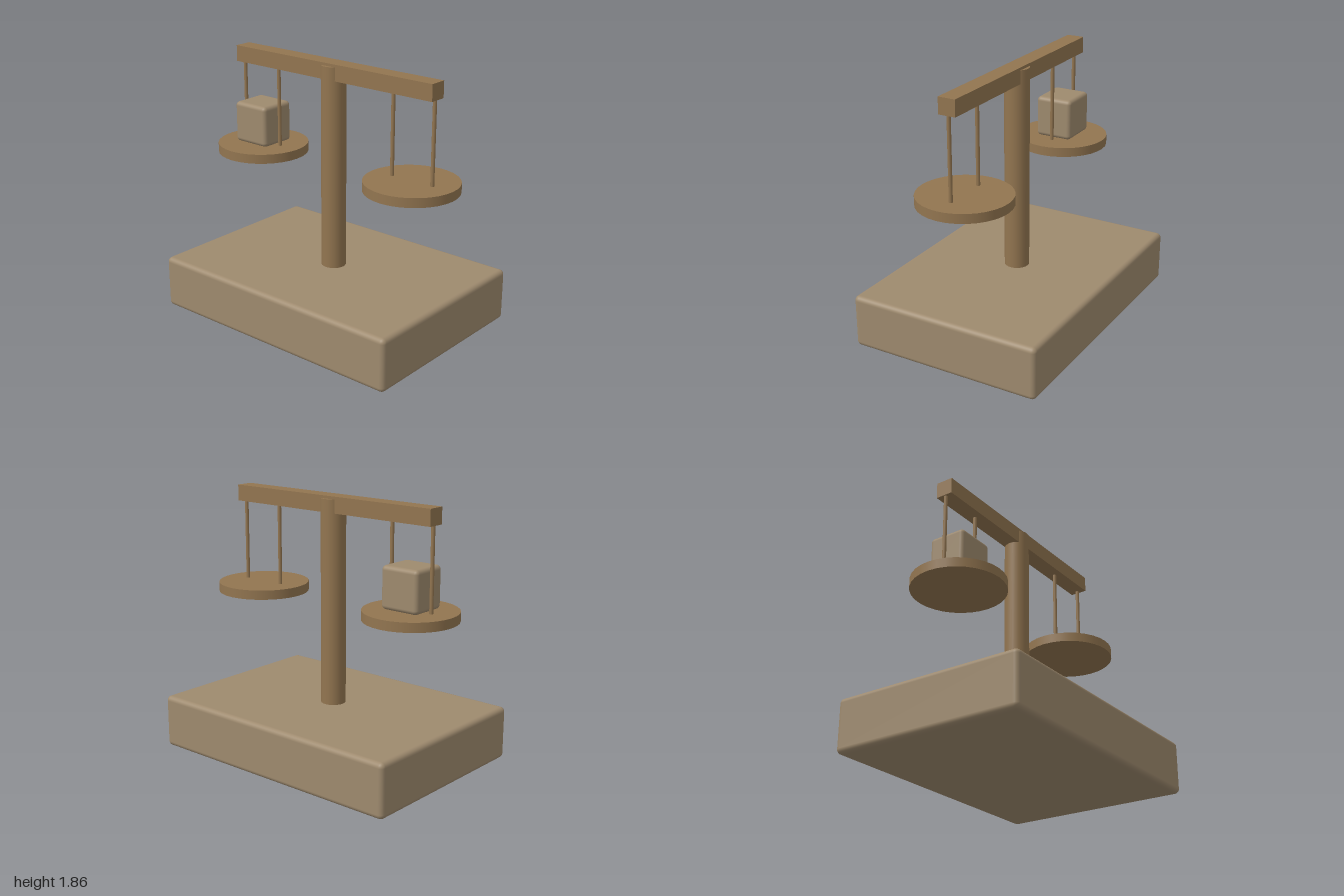
import * as THREE from 'three';
import { RoundedBoxGeometry } from 'three/addons/geometries/RoundedBoxGeometry.js';

export function createModel() {
  const model = new THREE.Group();
  model.name = 'balanceScale';

  const stone = new THREE.MeshStandardMaterial({ color: 0x9e8a6e });
  stone.name = 'stone';
  const wood = new THREE.MeshStandardMaterial({ color: 0x927550 });
  wood.name = 'wood';

  const add = (name, geometry, material, x, y, z = 0, parent = model) => {
    const mesh = new THREE.Mesh(geometry, material);
    mesh.name = name;
    mesh.position.set(x, y, z);
    parent.add(mesh);
    return mesh;
  };

  // Upright cylinder given by its bottom and top heights
  const addCylinder = (name, radius, bottom, top, sides, x, parent) =>
    add(name, new THREE.CylinderGeometry(radius, radius, top - bottom, sides), wood,
      x, (bottom + top) / 2, 0, parent);

  // Heavy base with softened edges
  add('base', new RoundedBoxGeometry(2, 0.38, 1.41, 3, 0.035), stone, 0, 0.19);

  // Central post, standing slightly proud of the beam front and back
  addCylinder('post', 0.088, 0.37, 1.84, 24, 0, model);

  // Cross beam
  add('beam', new THREE.BoxGeometry(1.715, 0.115, 0.125), wood, 0, 1.802);

  // Hanging pans, each on two thin rods
  for (const side of [-1, 1]) {
    const pan = new THREE.Group();
    pan.name = side > 0 ? 'leftPan' : 'rightPan';
    model.add(pan);
    addCylinder('dish', 0.328, 1.097, 1.164, 32, side * 0.672, pan);
    for (const x of [0.508, 0.836]) {
      addCylinder('rod', 0.0135, 1.13, 1.76, 12, side * x, pan);
    }
  }

  // Weight resting on the right pan
  add('weight', new RoundedBoxGeometry(0.296, 0.296, 0.275, 3, 0.03), stone, -0.671, 1.319);

  return model;
}
